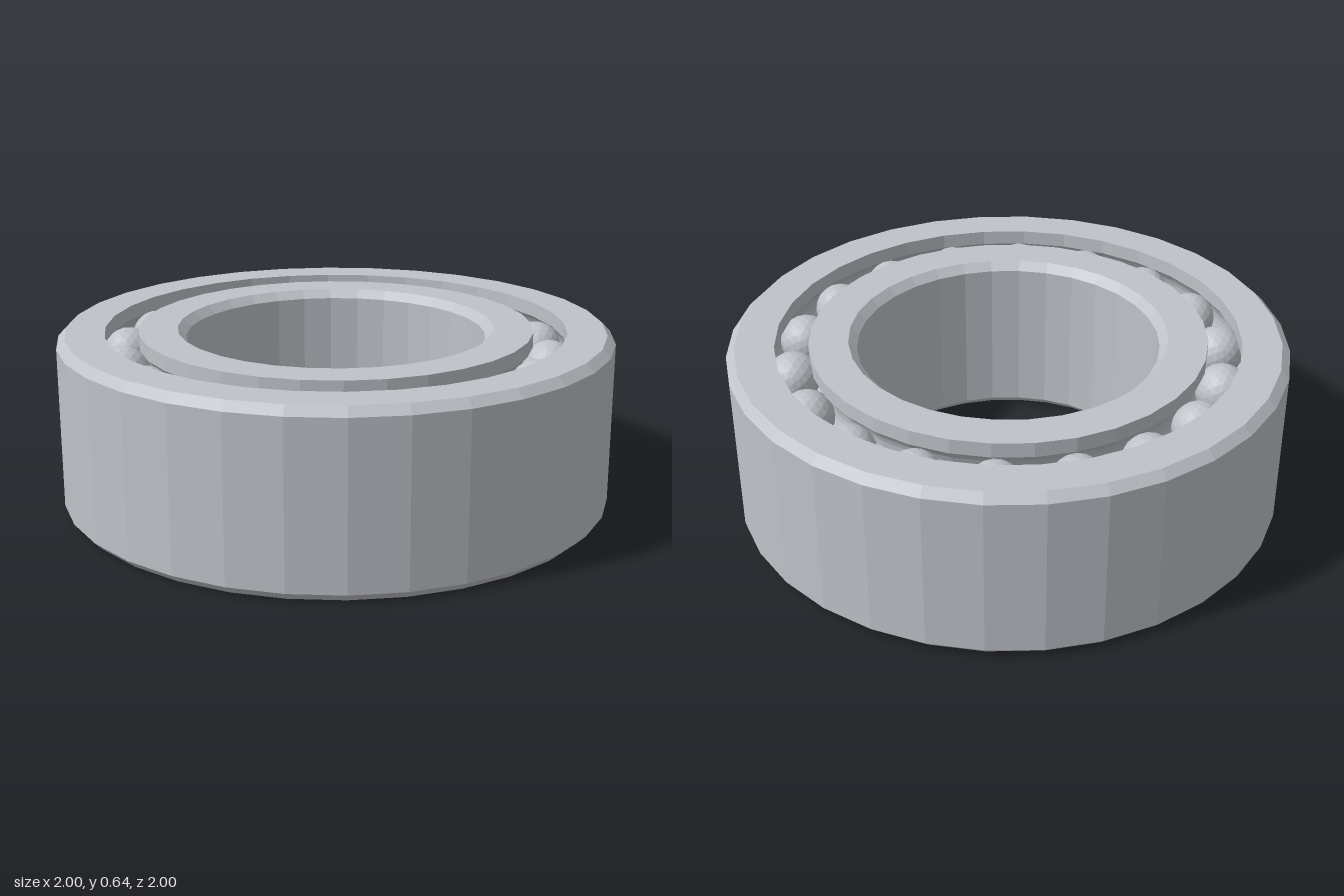
import * as THREE from 'three';

const HEIGHT = 0.64, BEVEL = 0.03, SIDES = 32;
const PITCH = 0.77, BALL_RADIUS = 0.095, BALLS = 18;
const ROWS = [0.13, HEIGHT - 0.13];

// Race wall with one round groove per row of balls, listed upwards.
// dir is +1 when the groove bites outwards, -1 when it bites inwards.
function raceWall(radius, dir) {
  const grooveRadius = BALL_RADIUS + 0.002;
  const half = Math.acos(Math.abs(radius - PITCH) / grooveRadius);
  const points = [[radius, 0]];
  for (const y of ROWS) {
    for (let i = 0; i <= 8; i++) {
      const a = -half + (2 * half * i) / 8;
      points.push([PITCH + dir * grooveRadius * Math.cos(a), y + grooveRadius * Math.sin(a)]);
    }
  }
  points.push([radius, HEIGHT]);
  return points;
}

function ring(name, profile, material) {
  const points = [...profile, profile[0]].map(([r, y]) => new THREE.Vector2(r, y));
  const mesh = new THREE.Mesh(new THREE.LatheGeometry(points, SIDES).toNonIndexed(), material);
  mesh.geometry.computeVertexNormals(); // flat facets
  mesh.name = name;
  return mesh;
}

export function createModel() {
  const group = new THREE.Group();
  group.name = 'ballBearing';
  const steel = new THREE.MeshStandardMaterial({ name: 'steel', color: 0xbfc2c9, flatShading: true });

  // Outer ring: bevelled outside, grooved inside
  group.add(ring('outerRing', [
    [1 - BEVEL, 0], [1, BEVEL], [1, HEIGHT - BEVEL], [1 - BEVEL, HEIGHT],
    ...raceWall(0.83, 1).reverse(),
  ], steel));

  // Inner ring: grooved outside, bevelled bore
  group.add(ring('innerRing', [
    ...raceWall(0.71, -1),
    [0.54 + BEVEL, HEIGHT], [0.54, HEIGHT - BEVEL], [0.54, BEVEL], [0.54 + BEVEL, 0],
  ], steel));

  // Two rows of balls
  const ballGeometry = new THREE.IcosahedronGeometry(BALL_RADIUS, 3);
  ROWS.forEach((y, row) => {
    const balls = new THREE.Group();
    balls.name = row ? 'upperBalls' : 'lowerBalls';
    for (let i = 0; i < BALLS; i++) {
      const a = (i / BALLS) * Math.PI * 2;
      const ball = new THREE.Mesh(ballGeometry, steel);
      ball.name = 'ball';
      ball.position.set(Math.cos(a) * PITCH, y, Math.sin(a) * PITCH);
      balls.add(ball);
    }
    group.add(balls);
  });
  return group;
}
